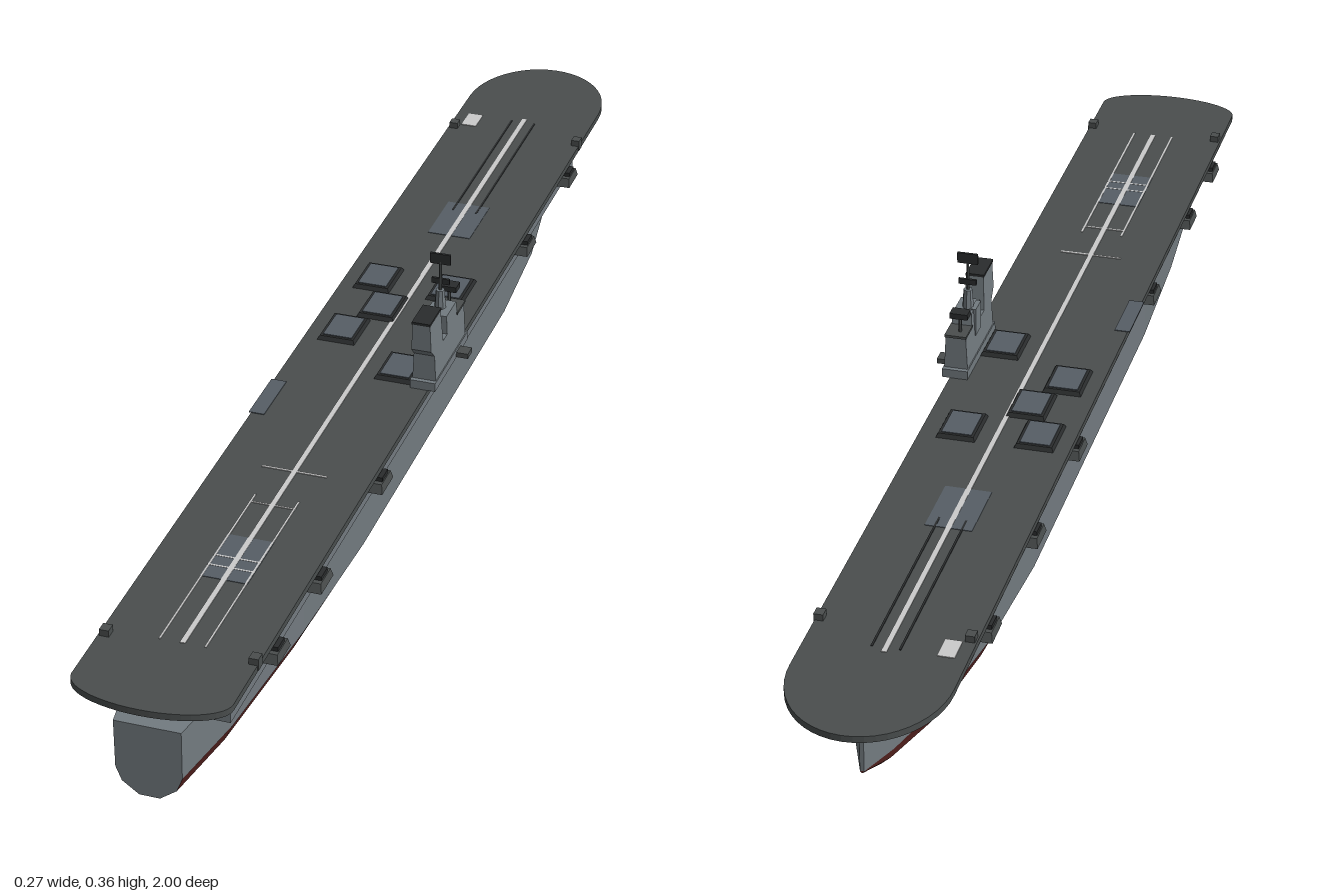
import * as THREE from 'three';

const mat = (color) => new THREE.MeshStandardMaterial({ color, flatShading: true });
const grey = mat(0x737b80), dark = mat(0x4a4e4e), black = mat(0x2a2c2d);
const red = mat(0x5c2522), plate = mat(0x565e66), white = mat(0xc8cccc);
const CX = -0.0115; // hull and deck centreline
const DECK = 0.178; // deck surface height

// Skin a row of closed rings (counter-clockwise seen from +z, running towards -z)
function loft(rings) {
  const pos = [], n = rings[0].length;
  for (let i = 0; i < rings.length - 1; i++) {
    for (let j = 0; j < n; j++) {
      const k = (j + 1) % n;
      const a = rings[i][j], b = rings[i][k], c = rings[i + 1][j], d = rings[i + 1][k];
      pos.push(...a, ...c, ...b, ...b, ...c, ...d);
    }
  }
  const last = rings[rings.length - 1];
  for (let j = 1; j < n - 1; j++) pos.push(...last[0], ...last[j + 1], ...last[j]);
  const g = new THREE.BufferGeometry();
  g.setAttribute('position', new THREE.Float32BufferAttribute(pos, 3));
  g.computeVertexNormals();
  return g;
}

export function createModel() {
  const root = new THREE.Group();
  const add = (name, geo, material, x = 0, y = 0, z = 0) => {
    const m = new THREE.Mesh(geo, material);
    m.name = name;
    m.position.set(x, y, z);
    root.add(m);
    return m;
  };
  const box = (name, material, w, h, d, x, y, z) =>
    add(name, new THREE.BoxGeometry(w, h, d), material, x, y, z);

  // Hull stations from stern to bow: z, half width, keel height, top height
  const stations = [
    [0.975, 0.048, 0.018, 0.133], [0.84, 0.07, 0.009, 0.133], [0.6, 0.088, 0.001, 0.133],
    [0.36, 0.097, 0, 0.133], [-0.36, 0.097, 0, 0.133], [-0.56, 0.085, 0.001, 0.133],
    [-0.74, 0.058, 0.009, 0.135], [-0.85, 0.027, 0.03, 0.141], [-0.91, 0.003, 0.055, 0.146],
  ];
  const mirror = (half, z) => [
    ...half.map(([x, y]) => [-x, y, z]),
    ...half.slice().reverse().map(([x, y]) => [x, y, z]),
  ];
  const bottomHalf = (w, k) => [[w, 0.058], [w * 0.82, k + (0.058 - k) * 0.45], [w * 0.31, k]];
  add('upperHull', loft(stations.map(([z, w, , t]) =>
    mirror([[w * 1.01, t], [w, 0.058]], z))), grey, CX);
  add('lowerHull', loft(stations.map(([z, w, k]) => mirror(bottomHalf(w, k), z))), red, CX);

  // Flat transom closing the stern
  const [tz, tw, tk, tt] = stations[0];
  const transom = mirror([[tw * 1.01, tt], ...bottomHalf(tw, tk)], 0);
  add('transom', new THREE.ShapeGeometry(
    new THREE.Shape(transom.map(([x, y]) => new THREE.Vector2(x, y)))), grey, CX, 0, tz);

  // Hangar between hull and deck
  box('hangar', grey, 0.203, 0.038, 1.675, CX, 0.15, 0.0925);

  // Flight deck with rounded ends
  const W = 0.115, outline = new THREE.Shape();
  outline.moveTo(W, -0.95);
  outline.lineTo(W, 0.86);
  outline.absellipse(0, 0.86, W, 0.14, 0, Math.PI, false);
  outline.lineTo(-W, -0.95);
  outline.absellipse(0, -0.95, W, 0.05, Math.PI, Math.PI * 2, false);
  const deck = new THREE.ExtrudeGeometry(outline,
    { depth: 0.01, bevelEnabled: false, curveSegments: 12 });
  deck.rotateX(-Math.PI / 2);
  add('flightDeck', deck, dark, CX - 0.001, DECK - 0.01, 0);

  // Gun sponsons along both sides
  const sponson = (s, z) => {
    const g = new THREE.BoxGeometry(0.024, 0.014, 0.052);
    const p = g.attributes.position;
    for (let i = 0; i < p.count; i++) {
      if (p.getY(i) < 0) continue;
      p.setX(i, p.getX(i) * 0.8);
      p.setZ(i, p.getZ(i) * 0.8);
    }
    g.computeVertexNormals();
    add('sponson', g, dark, CX + s * 0.112, 0.152, z);
    box('sponsonGun', black, 0.014, 0.007, 0.026, CX + s * 0.113, 0.162, z);
  };
  for (const s of [-1, 1]) for (const z of [-0.67, -0.42, 0.33, 0.6, 0.78]) sponson(s, z);
  sponson(-1, -0.17);

  // Gun tubs at the deck corners
  for (const [x, z] of [[-0.118, 0.85], [0.097, 0.85], [0.097, -0.74], [-0.118, -0.74]]) {
    box('cornerTub', dark, 0.014, 0.018, 0.016, x, 0.179, z);
  }

  // Raised bevelled deck hatches
  for (const [x, z] of [[-0.075, -0.195], [0.045, -0.195], [-0.04, -0.11],
    [-0.075, -0.025], [0.045, 0.06]]) {
    const g = new THREE.CylinderGeometry(0.9, 1, 1, 4, 1);
    g.rotateY(Math.PI / 4);
    g.scale(0.06 / Math.SQRT2, 0.006, 0.08 / Math.SQRT2);
    add('hatchFrame', g, black, x, DECK + 0.003, z);
    box('hatchCover', plate, 0.046, 0.002, 0.064, x, DECK + 0.0063, z);
  }

  // Lifts and deck markings
  const flat = (name, m, w, d, x, z, h = 0.0012) => box(name, m, w, h, d, x, DECK + h / 2, z);
  flat('forwardLift', plate, 0.07, 0.11, CX, -0.42, 0.0008);
  flat('aftLift', plate, 0.07, 0.11, CX, 0.625, 0.0008);
  flat('sideLift', plate, 0.024, 0.1, -0.119, 0.2);
  flat('deckPanel', white, 0.025, 0.042, -0.096, -0.77);
  flat('centreLine', white, 0.008, 1.64, CX, 0.02);
  for (const s of [-1, 1]) {
    flat('catapultTrack', black, 0.003, 0.34, CX + s * 0.02, -0.62);
    flat('landingLine', white, 0.003, 0.38, CX + s * 0.033, 0.65);
  }
  flat('crossLine', white, 0.1, 0.004, CX, 0.385);
  for (const z of [0.48, 0.625, 0.65]) flat('crossLine', white, 0.07, 0.003, CX, z);

  // Island: side profile (z, y) extruded across, then tapered upwards
  const profile = [[0.1, DECK], [0.1, 0.235], [0.115, 0.25], [0.115, 0.293], [0.062, 0.293],
    [0.057, 0.238], [0.036, 0.238], [0.036, 0.268], [-0.013, 0.268], [-0.016, 0.245],
    [-0.05, 0.245], [-0.05, DECK]];
  const island = new THREE.ExtrudeGeometry(
    new THREE.Shape(profile.map(([z, y]) => new THREE.Vector2(-z, y))),
    { depth: 0.038, bevelEnabled: false });
  island.translate(0, 0, -0.019);
  island.rotateY(Math.PI / 2);
  const ip = island.attributes.position;
  for (let i = 0; i < ip.count; i++) {
    ip.setX(i, ip.getX(i) * (1 - 2.5 * (ip.getY(i) - DECK)));
  }
  island.computeVertexNormals();
  add('island', island, grey, 0.0945);
  box('islandBase', grey, 0.04, 0.014, 0.165, 0.0945, DECK + 0.007, 0.025);
  box('funnelCap', black, 0.029, 0.004, 0.055, 0.094, 0.295, 0.088);
  box('bridgeRoof', dark, 0.034, 0.004, 0.04, 0.0945, 0.247, -0.033);
  box('bridgeWing', grey, 0.008, 0.045, 0.03, 0.08, 0.247, 0.015);
  box('sidePlatform', dark, 0.024, 0.008, 0.022, 0.121, 0.183, -0.01);

  // Mast and radar aerials
  add('mast', new THREE.CylinderGeometry(0.002, 0.003, 0.085, 6), dark, 0.091, 0.31, 0.01);
  add('mastFoot', new THREE.CylinderGeometry(0.007, 0.009, 0.03, 8), grey, 0.091, 0.283, 0.01);
  box('upperRadar', black, 0.032, 0.017, 0.004, 0.091, 0.351, 0.01);
  box('lowerRadar', black, 0.028, 0.009, 0.02, 0.091, 0.279, -0.036);
  box('middleRadar', black, 0.028, 0.009, 0.004, 0.091, 0.312, 0.008);
  add('radarPost', new THREE.CylinderGeometry(0.0025, 0.0025, 0.03, 6), dark, 0.091, 0.262, -0.036);

  return root;
}
